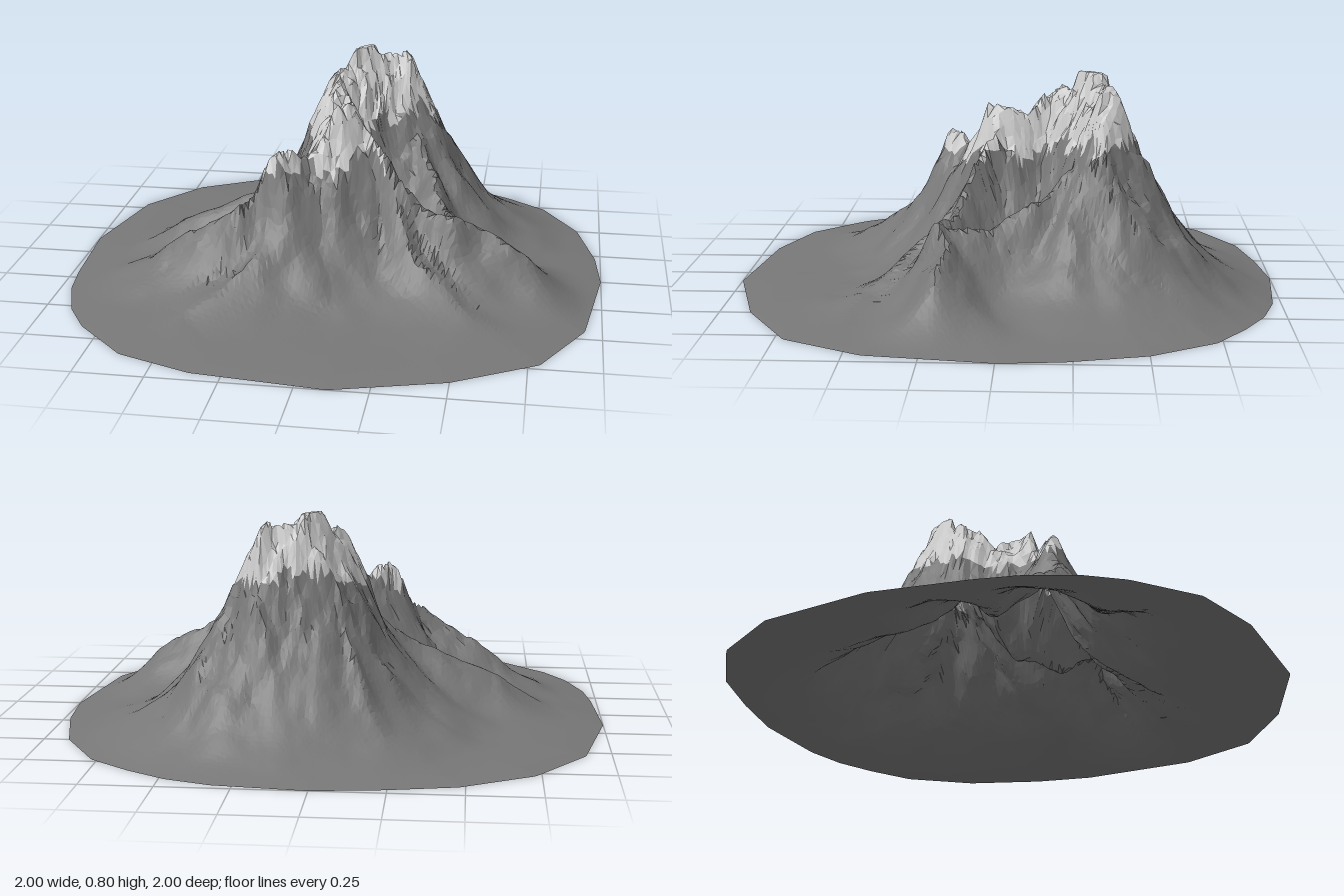
import * as THREE from 'three';

// Outline of the base, as [x, z] corners
const RIM = [
  [0, -1], [0.32, -0.97], [0.48, -0.92], [0.62, -0.84], [0.77, -0.73], [0.91, -0.5], [0.98, -0.22], [1, 0],
  [0.94, 0.44], [0.79, 0.72], [0.5, 0.89], [0.11, 1], [-0.36, 0.95], [-0.63, 0.85], [-0.82, 0.66], [-0.9, 0.53],
  [-0.96, 0.35], [-0.98, 0.2], [-1, -0.14], [-0.91, -0.54], [-0.73, -0.78], [-0.48, -0.92], [-0.24, -0.97],
];

// A crest line of [x, z, height] points; the flanks widen from w0 to w1 along it
const ridge = (w0, w1, ...points) =>
  points.map(([x, z, height], k) => ({ x, z, height, width: w0 + ((w1 - w0) * k) / (points.length - 1) }));

const summitRidge = ridge(0.21, 0.28, [-0.17, 0.21, 0.53], [-0.1, 0.15, 0.49], [-0.02, 0.1, 0.57],
  [0.03, 0.02, 0.69], [0, -0.1, 0.67], [-0.03, -0.2, 0.71], [0.07, -0.33, 0.81], [0.2, -0.36, 0.76]);
const rightSpur = ridge(0.13, 0.17, [0.04, 0.03, 0.65], [0.2, 0.09, 0.48], [0.34, 0.18, 0.33],
  [0.45, 0.21, 0.33], [0.72, 0.2, 0.22], [0.85, 0.2, 0.07]);
const rightSaddle = ridge(0.16, 0.17, [0.15, -0.3, 0.66], [0.28, -0.2, 0.46], [0.42, 0.05, 0.28], [0.46, 0.2, 0.31]);
const frontLeftSpur = ridge(0.15, 0.2, [-0.17, 0.21, 0.5], [-0.3, 0.27, 0.36], [-0.6, 0.27, 0.18], [-0.8, 0.28, 0.05]);
const leftSpur = ridge(0.16, 0.19, [-0.06, -0.14, 0.54], [-0.28, -0.06, 0.31], [-0.6, -0.04, 0.17], [-0.8, 0, 0.05]);
const frontSpurA = ridge(0.12, 0.16, [-0.16, 0.22, 0.48], [-0.22, 0.4, 0.22], [-0.45, 0.62, 0.06]);
const frontSpurB = ridge(0.13, 0.17, [0.22, 0.1, 0.42], [0.33, 0.32, 0.2], [0.5, 0.5, 0.09]);
const backSpurA = ridge(0.14, 0.17, [0.2, -0.36, 0.68], [0.36, -0.48, 0.33], [0.5, -0.62, 0.1]);
const backSpurB = ridge(0.14, 0.17, [0.02, -0.33, 0.68], [-0.1, -0.52, 0.34], [-0.22, -0.7, 0.1]);
const RIDGES = [summitRidge, rightSpur, rightSaddle, frontLeftSpur, leftSpur, frontSpurA, frontSpurB, backSpurA, backSpurB];

const CENTRE = [0.04, -0.1];
const { lerp, smoothstep, clamp } = THREE.MathUtils;

function hash(i, j) {
  const s = Math.sin(i * 127.1 + j * 311.7) * 43758.5453;
  return s - Math.floor(s);
}

// Smooth value noise in -1..1
function noise(x, z) {
  const i = Math.floor(x), j = Math.floor(z);
  const u = smoothstep(x - i, 0, 1), v = smoothstep(z - j, 0, 1);
  return 2 * lerp(lerp(hash(i, j), hash(i + 1, j), u), lerp(hash(i, j + 1), hash(i + 1, j + 1), u), v) - 1;
}

// Height of one crest line with its concave flanks
function ridgeHeight(line, x, z) {
  let best = 0;
  for (let k = 0; k < line.length - 1; k++) {
    const a = line[k], b = line[k + 1];
    const dx = b.x - a.x, dz = b.z - a.z;
    const t = clamp(((x - a.x) * dx + (z - a.z) * dz) / (dx * dx + dz * dz), 0, 1);
    const d = Math.hypot(x - a.x - dx * t, z - a.z - dz * t);
    best = Math.max(best, lerp(a.height, b.height, t) * Math.exp(-Math.pow(d / lerp(a.width, b.width, t), 1.3)));
  }
  return best;
}

function smoothMax(a, b, k) {
  const h = Math.max(k - Math.abs(a - b), 0) / k;
  return Math.max(a, b) + h * h * k * 0.25;
}

// Ground height; t runs from 0 at the middle to 1 at the rim
function groundHeight(x, z, t) {
  // warp the crests a little so they wander
  const wx = x + 0.022 * noise(x * 9, z * 9), wz = z + 0.022 * noise(x * 9 + 40, z * 9);
  let h = 0;
  for (const line of RIDGES) h = smoothMax(h, ridgeHeight(line, wx, wz), 0.04);
  const rough = 0.02 * noise(x * 13, z * 13) + 0.018 * noise(x * 27 + 7, z * 27);
  const crags = 0.03 * noise(x * 38, z * 38 + 3);
  h += rough * smoothstep(h, 0.02, 0.5) + crags * smoothstep(h, 0.3, 0.65);
  return Math.max(0, Math.min(h, 0.8) * (1 - Math.pow(t, 6)));
}

// Distance from the centre to the outline in one direction
function rimDistance(dx, dz) {
  let best = Infinity;
  RIM.forEach((a, k) => {
    const b = RIM[(k + 1) % RIM.length];
    const nx = b[1] - a[1], nz = a[0] - b[0];
    const facing = nx * dx + nz * dz;
    if (facing > 0) best = Math.min(best, (nx * (a[0] - CENTRE[0]) + nz * (a[1] - CENTRE[1])) / facing);
  });
  return best;
}

// Ground point for a square grid position u, v in -1..1, wrapped onto the round base
function groundPoint(u, v) {
  const t = Math.max(Math.abs(u), Math.abs(v));
  let angle = 0;
  if (t > 0) {
    angle = Math.abs(u) >= Math.abs(v)
      ? (Math.PI / 4) * (v / u) + (u < 0 ? Math.PI : 0)
      : Math.PI / 2 - (Math.PI / 4) * (u / v) + (v < 0 ? Math.PI : 0);
  }
  const dx = Math.cos(angle), dz = Math.sin(angle);
  const radius = t * rimDistance(dx, dz);
  const x = CENTRE[0] + dx * radius, z = CENTRE[1] + dz * radius;
  return [x, groundHeight(x, z, t), z];
}

function makeSurface(name, positions, color) {
  const geometry = new THREE.BufferGeometry();
  geometry.setAttribute('position', new THREE.Float32BufferAttribute(positions, 3));
  geometry.computeVertexNormals();
  const material = new THREE.MeshStandardMaterial({ color, flatShading: true, side: THREE.DoubleSide });
  const mesh = new THREE.Mesh(geometry, material);
  mesh.name = name;
  return mesh;
}

export function createModel() {
  // Slightly irregular grid of ground points
  const cells = 112;
  const grid = [];
  for (let j = 0; j <= cells; j++) {
    const row = [];
    for (let i = 0; i <= cells; i++) {
      const inner = i > 0 && j > 0 && i < cells && j < cells;
      const ji = inner ? 0.6 * (hash(i, j) - 0.5) : 0, jj = inner ? 0.6 * (hash(j + 200, i) - 0.5) : 0;
      row.push(groundPoint((2 * (i + ji)) / cells - 1, (2 * (j + jj)) / cells - 1));
    }
    grid.push(row);
  }

  // Sort the faces into rock and snow along a ragged snow line
  const rock = [], snow = [];
  const addFace = (...p) => {
    const [x, y, z] = [0, 1, 2].map((k) => (p[0][k] + p[1][k] + p[2][k]) / 3);
    const line = 0.505 - 0.19 * z + 0.045 * noise(x * 22, z * 22) + 0.02 * noise(x * 60, z * 60);
    (y > line ? snow : rock).push(...p.flat());
  };
  for (let j = 0; j < cells; j++) {
    for (let i = 0; i < cells; i++) {
      const a = grid[j][i], b = grid[j][i + 1], c = grid[j + 1][i + 1], d = grid[j + 1][i];
      if ((i + j) % 2) {
        addFace(a, d, c);
        addFace(a, c, b);
      } else {
        addFace(a, d, b);
        addFace(b, d, c);
      }
    }
  }

  const group = new THREE.Group();
  group.name = 'mountain';
  group.add(makeSurface('rockSlopes', rock, 0x777777), makeSurface('snowCap', snow, 0xcccccc));
  return group;
}
